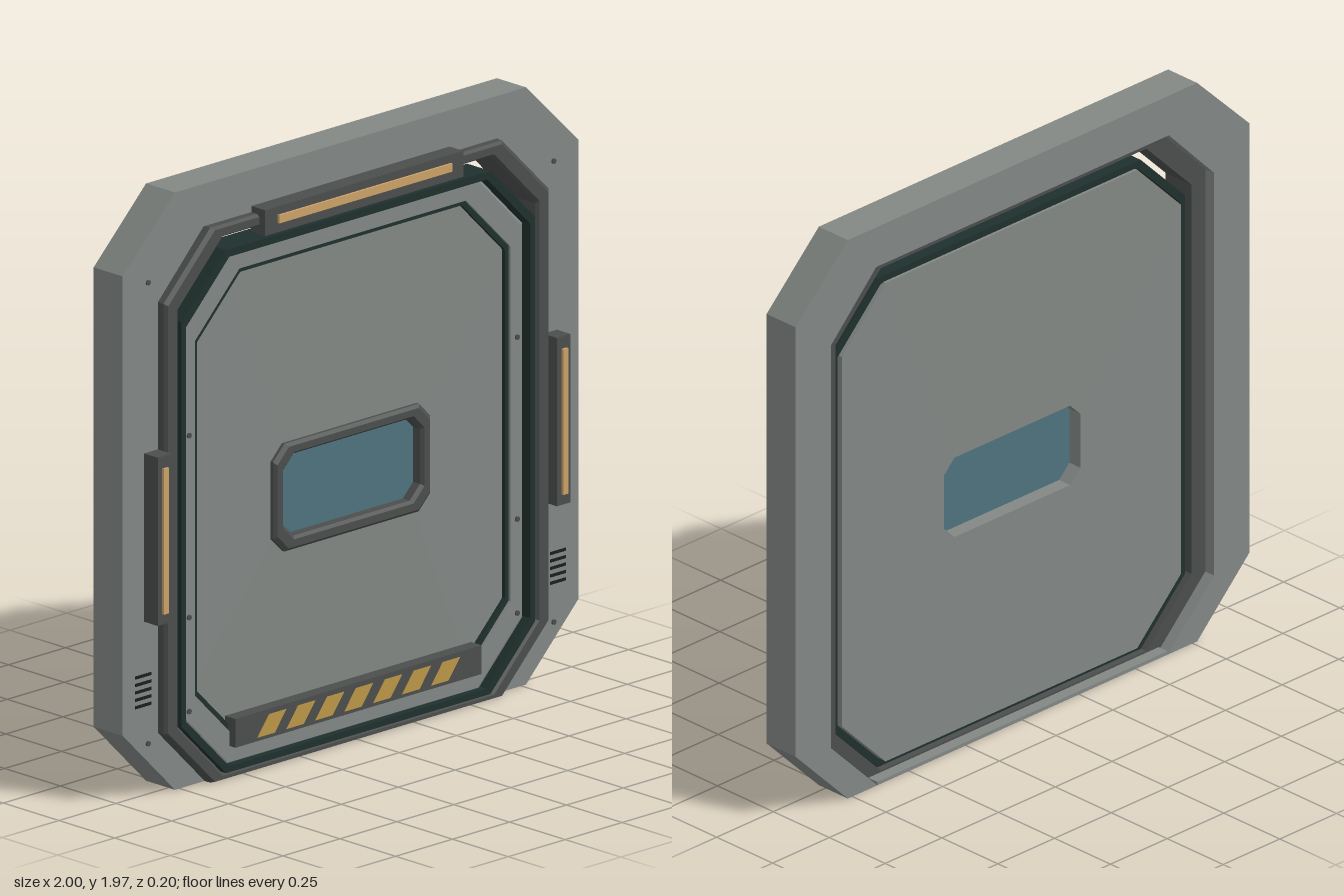
import * as THREE from 'three';

const mat = (name, color) => {
  const m = new THREE.MeshStandardMaterial({ color });
  m.name = name;
  return m;
};

// Cut-corner outline, counter-clockwise from the bottom left: half width, bottom, top, corner cut
const octagon = (w, b, t, c) => [
  [-w + c, b], [w - c, b], [w, b + c], [w, t - c],
  [w - c, t], [-w + c, t], [-w, t - c], [-w, b + c],
];

// Closed ring lofted through outlines [w, b, t, cut, z]: outer back, outer front, inner front, inner back
function loftRing(sections) {
  const rings = sections.map(([w, b, t, c, z]) => octagon(w, b, t, c).map(([x, y]) => [x, y, z]));
  const pos = [];
  rings.forEach((ring, i) => {
    const next = rings[(i + 1) % rings.length];
    for (let j = 0; j < 8; j++) {
      const k = (j + 1) % 8;
      pos.push(...ring[j], ...ring[k], ...next[k], ...ring[j], ...next[k], ...next[j]);
    }
  });
  const g = new THREE.BufferGeometry();
  g.setAttribute('position', new THREE.Float32BufferAttribute(pos, 3));
  g.computeVertexNormals();
  return g;
}

function extrude(points, z0, z1) {
  const shape = new THREE.Shape(points.map(([x, y]) => new THREE.Vector2(x, y)));
  return new THREE.ExtrudeGeometry(shape, { depth: z1 - z0, bevelEnabled: false }).translate(0, 0, z0);
}

// Box given by its limits
const box = (x0, x1, y0, y1, z0, z1) =>
  new THREE.BoxGeometry(x1 - x0, y1 - y0, z1 - z0).translate((x0 + x1) / 2, (y0 + y1) / 2, (z0 + z1) / 2);

export function createModel() {
  const group = new THREE.Group();
  const steel = mat('grey steel', 0x838885);
  const dark = mat('dark metal', 0x4b4e4d);
  const seal = mat('dark green seal', 0x1f302d);
  const glass = mat('blue glass', 0x4f747f);
  const amber = mat('amber light', 0xcda368);
  const yellow = mat('hazard yellow', 0xbd9748);
  const black = mat('vent black', 0x1b1f1e);

  const add = (name, geometry, material) => {
    const mesh = new THREE.Mesh(geometry, material);
    mesh.name = name;
    group.add(mesh);
    return mesh;
  };

  // Outer frame, an arch open at the bottom, and its thin sill
  const half = [[0.64, 0], [0.77, 0], [1, 0.23], [1, 1.745], [0.77, 1.97]];
  const inner = [[0.845, 0.205], [0.845, 1.625], [0.645, 1.83]];
  const flip = (pts) => pts.map(([x, y]) => [-x, y]).reverse();
  add('outerFrame', extrude([...half, ...flip(half), ...flip(inner).reverse(), ...[...inner].reverse()], -0.1, 0.03), steel);
  add('sill', box(-0.64, 0.64, 0, 0.012, -0.1, -0.055), steel);

  // Raised inner trim of the doorway
  add('doorwayTrim', loftRing([
    [0.845, 0, 1.83, 0.205, -0.06],
    [0.845, 0, 1.83, 0.205, 0.055],
    [0.835, 0.003, 1.822, 0.205, 0.066],
    [0.795, 0.014, 1.797, 0.2, 0.066],
    [0.785, 0.018, 1.79, 0.2, 0.055],
    [0.785, 0.018, 1.79, 0.2, -0.06],
  ]), dark);

  // Seal around the door leaf
  add('doorSeal', loftRing([
    [0.775, 0.02, 1.745, 0.195, -0.04],
    [0.775, 0.02, 1.745, 0.195, 0.065],
    [0.756, 0.04, 1.72, 0.19, 0.065],
    [0.756, 0.04, 1.72, 0.19, -0.04],
  ]), seal);

  // Door leaf with a window opening, its raised border and the groove inside it
  add('doorPanel', loftRing([
    [0.747, 0.035, 1.723, 0.192, -0.05],
    [0.747, 0.035, 1.723, 0.192, 0.018],
    [0.32, 0.7, 1.02, 0.045, 0.024],
    [0.3, 0.72, 1.0, 0.045, -0.005],
    [0.3, 0.72, 1.0, 0.045, -0.054],
  ]), steel);
  add('doorBorder', loftRing([
    [0.746, 0.036, 1.722, 0.192, 0.01],
    [0.746, 0.036, 1.722, 0.192, 0.036],
    [0.74, 0.042, 1.716, 0.192, 0.04],
    [0.692, 0.1, 1.66, 0.195, 0.04],
    [0.692, 0.1, 1.66, 0.195, 0.01],
  ]), steel);
  add('panelGroove', loftRing([
    [0.692, 0.1, 1.66, 0.195, 0.01],
    [0.692, 0.1, 1.66, 0.195, 0.032],
    [0.676, 0.115, 1.645, 0.19, 0.032],
    [0.676, 0.115, 1.645, 0.19, 0.01],
  ]), seal);

  // Window
  add('windowFrame', loftRing([
    [0.345, 0.68, 1.035, 0.05, 0.01],
    [0.345, 0.68, 1.035, 0.05, 0.035],
    [0.335, 0.69, 1.025, 0.05, 0.045],
    [0.31, 0.715, 1.003, 0.047, 0.045],
    [0.3, 0.724, 0.995, 0.045, 0.035],
    [0.3, 0.724, 0.995, 0.045, 0.0],
  ]), dark);
  add('windowGlass', extrude(octagon(0.302, 0.718, 1.002, 0.045), -0.004, 0.004), glass);

  // Kick bar with slanted hazard stripes
  add('kickBar', box(-0.54, 0.54, 0.095, 0.19, 0.01, 0.066), dark);
  for (let i = -3; i <= 3; i++) {
    const x = i * 0.127;
    add('hazardStripe', extrude([[x - 0.063, 0.107], [x + 0.012, 0.107], [x + 0.063, 0.173], [x - 0.012, 0.173]], 0.064, 0.068), yellow);
  }

  // Top lamp
  add('topLampHousing', box(-0.435, 0.435, 1.765, 1.85, 0.028, 0.092), dark);
  add('topLamp', box(-0.38, 0.38, 1.796, 1.823, 0.09, 0.1), amber);

  for (const s of [-1, 1]) {
    // Side lamps
    const cx = s * 0.876;
    add('sideLampHousing', box(cx - 0.03, cx + 0.03, 0.585, 1.14, 0.028, 0.092), dark);
    add('sideLamp', box(cx - 0.011, cx + 0.011, 0.62, 1.1, 0.09, 0.101), amber);

    // Vent slits
    for (let i = 0; i < 5; i++) {
      const y = 0.31 + i * 0.0245;
      add('ventSlit', box(s * 0.91 - 0.035, s * 0.91 + 0.035, y - 0.005, y + 0.005, 0.026, 0.032), black);
    }

    // Bolts on the frame and the door border
    for (const [x, y, z] of [[0.89, 1.7, 0.03], [0.89, 0.18, 0.03], [0.72, 1.16, 0.04], [0.72, 0.56, 0.04], [0.72, 0.25, 0.04]]) {
      const bolt = new THREE.CylinderGeometry(0.009, 0.009, 0.008, 8).rotateX(Math.PI / 2);
      add('bolt', bolt.translate(s * x, y, z + 0.002), dark);
    }
  }
  return group;
}
